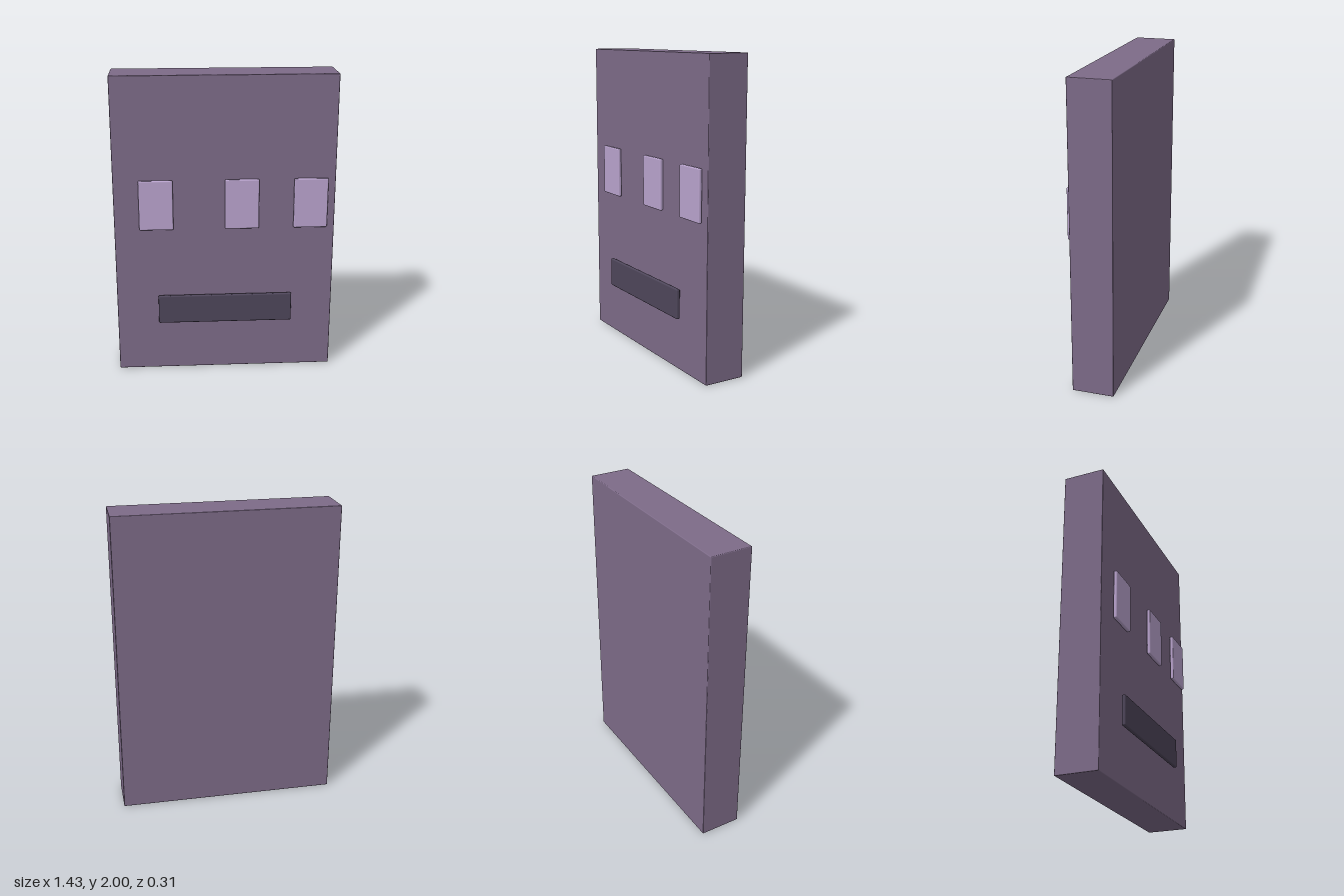
import * as THREE from 'three';
import { RoundedBoxGeometry } from 'three/addons/geometries/RoundedBoxGeometry.js';

function material(name, color) {
  const m = new THREE.MeshStandardMaterial({ color });
  m.name = name;
  return m;
}

export function createModel() {
  const group = new THREE.Group();
  group.name = 'slabFace';

  const mauve = material('mauve', 0x7d6b88);
  const lilac = material('lilac', 0xb9a3cd);
  const darkPlum = material('dark plum', 0x4e465a);

  // A softly bevelled block given by its size and centre
  function block(name, mat, [w, h, d], [x, y, z], radius) {
    const mesh = new THREE.Mesh(new RoundedBoxGeometry(w, h, d, 2, radius), mat);
    mesh.name = name;
    mesh.position.set(x, y, z);
    group.add(mesh);
  }

  // Upright slab
  block('body', mauve, [1.432, 2, 0.271], [0, 1, -0.0205], 0.005);

  // Three unevenly spaced eyes, floating just off the front
  const eyes = { rightEye: -0.444, middleEye: 0.11, leftEye: 0.555 };
  for (const [name, x] of Object.entries(eyes)) {
    block(name, lilac, [0.22, 0.33, 0.024], [x, 1.17, 0.133], 0.008);
  }

  // Mouth bar
  block('mouth', darkPlum, [0.884, 0.195, 0.025], [0, 0.447, 0.1435], 0.008);

  return group;
}
